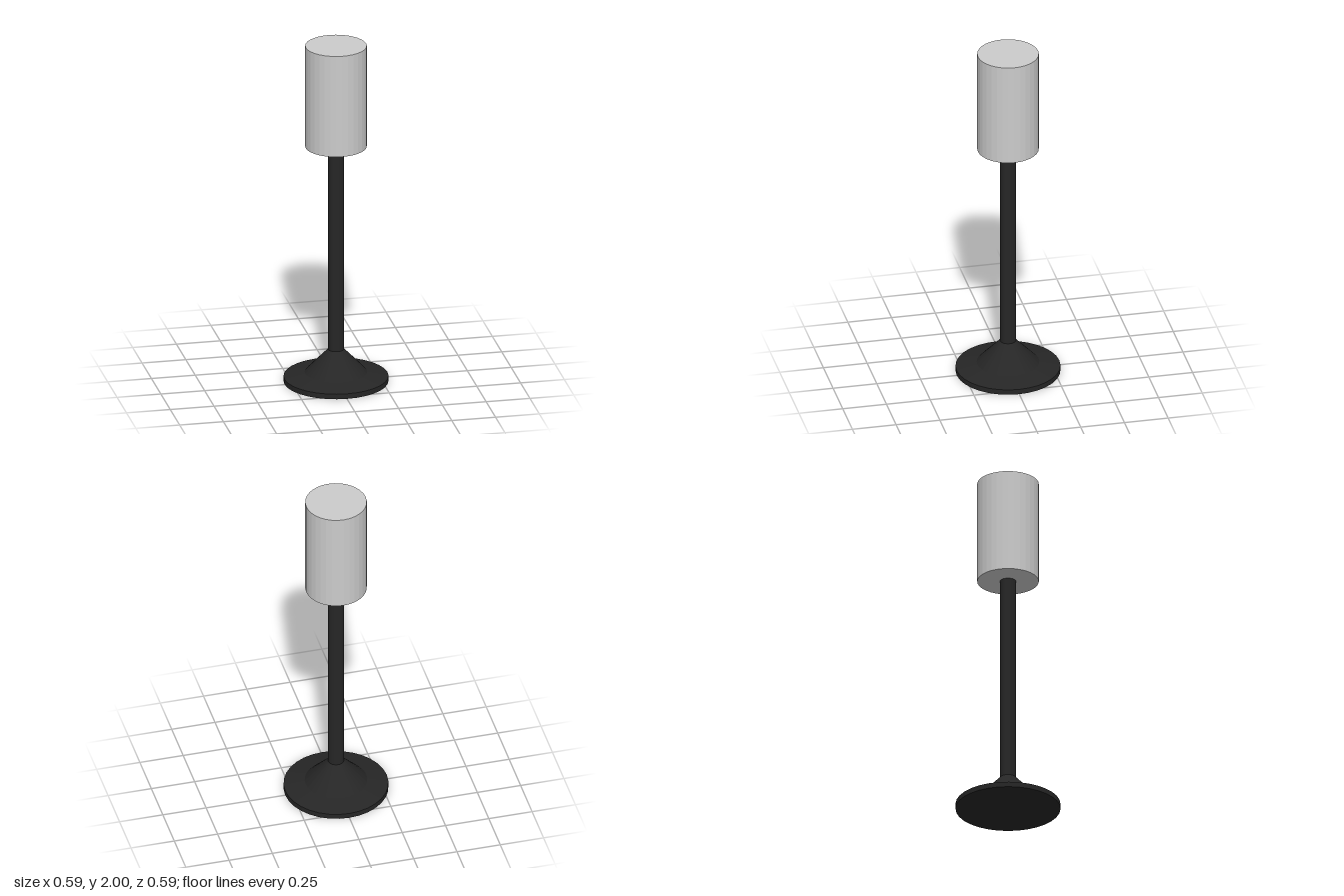
import * as THREE from 'three';

const SIDES = 32;

export function createModel() {
  const model = new THREE.Group();
  const dark = new THREE.MeshStandardMaterial({ color: 0x262626, flatShading: true });
  const grey = new THREE.MeshStandardMaterial({ color: 0xcccccc, flatShading: true });

  const add = (name, geometry, material, y = 0) => {
    const mesh = new THREE.Mesh(geometry, material);
    mesh.name = name;
    mesh.position.y = y;
    model.add(mesh);
  };
  const cylinder = (name, radius, bottom, top, material) =>
    add(name, new THREE.CylinderGeometry(radius, radius, top - bottom, SIDES), material, (bottom + top) / 2);

  // Foot: flat disc, shallow shoulder, then a steep cone up to the pole
  const footProfile = [
    [0, 0], [0.293, 0], [0.293, 0.03], [0.175, 0.055], [0.045, 0.19], [0, 0.19],
  ].map(([r, y]) => new THREE.Vector2(r, y));
  add('foot', new THREE.LatheGeometry(footProfile, SIDES), dark);

  // Pole between foot and shade
  cylinder('pole', 0.045, 0.19, 1.4, dark);

  // Closed cylindrical shade
  cylinder('shade', 0.172, 1.4, 2, grey);

  return model;
}
